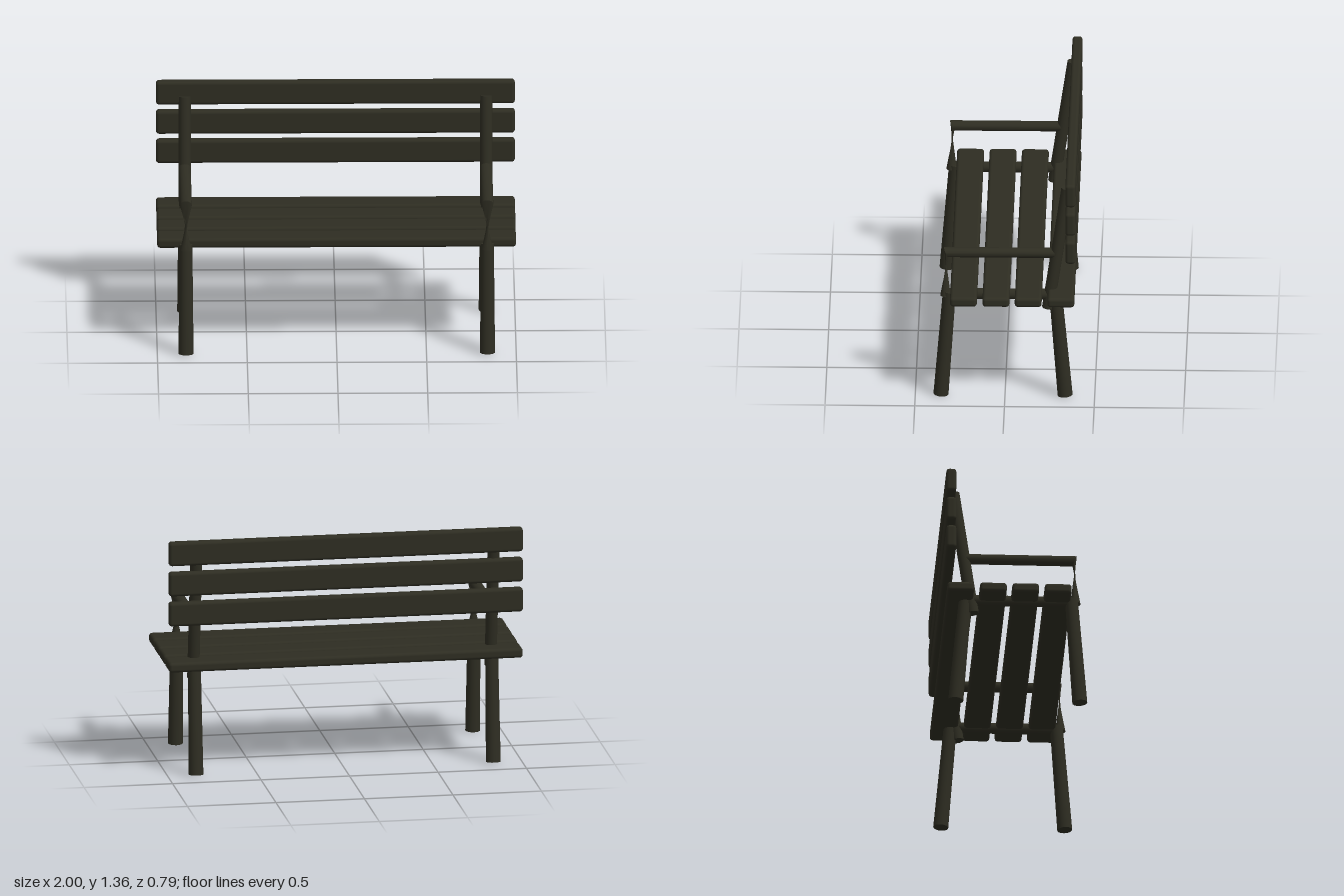
import * as THREE from 'three';
import { toCreasedNormals } from 'three/addons/utils/BufferGeometryUtils.js';
import { RoundedBoxGeometry } from 'three/addons/geometries/RoundedBoxGeometry.js';

const paint = new THREE.MeshStandardMaterial({ color: 0x2e2d22 });
paint.name = 'dark olive paint';
const armPaint = paint.clone();
armPaint.side = THREE.DoubleSide;

const V = (x, y, z) => new THREE.Vector3(x, y, z);

// Round bar from a to b, with a radius at each end
function rod(name, a, b, ra, rb) {
  const d = b.clone().sub(a);
  const mesh = new THREE.Mesh(new THREE.CylinderGeometry(rb, ra, d.length(), 16), paint);
  mesh.position.copy(a).add(b).multiplyScalar(0.5);
  mesh.quaternion.setFromUnitVectors(V(0, 1, 0), d.normalize());
  mesh.name = name;
  return mesh;
}

function slat(name, y, z, height, depth) {
  const mesh = new THREE.Mesh(new RoundedBoxGeometry(2, height, depth, 3, 0.018), paint);
  mesh.position.set(0, y, z);
  mesh.name = name;
  return mesh;
}

// Arm rail with a mitred corner and a twisted front upright
function armGeometry() {
  const sides = 16;
  const rings = [
    { c: V(0, 0.873, -0.28), v: V(0, 0.028, 0), twist: 0 },
    { c: V(0, 0.873, 0.328), v: V(0, 0.028, 0.012), twist: 0 },
  ];
  const steps = 8;
  const top = rings[1].c, foot = V(0, 0.61, 0.332);
  const twist = Math.PI * 0.9;
  const footV = V(0, 0, 0.029);
  const pos = [], index = [];
  const ringPoint = ({ c, v, twist: t }, i) => {
    const a = (i / sides) * Math.PI * 2 + t;
    return c.clone().addScaledVector(V(0.033, 0, 0), Math.cos(a)).addScaledVector(v, Math.sin(a));
  };
  const end = { c: foot, v: footV, twist };
  const rows = rings.map((r) => Array.from({ length: sides + 1 }, (_, i) => ringPoint(r, i)));
  // straight lines between the corner and the turned foot make the narrow waist
  for (let s = 1; s <= steps; s++) {
    rows.push(Array.from({ length: sides + 1 }, (_, i) =>
      ringPoint({ ...rings[1], c: top }, i).lerp(ringPoint(end, i), s / steps)));
  }
  rows.forEach((row) => row.forEach((p) => pos.push(p.x, p.y, p.z)));
  const n = sides + 1;
  for (let r = 0; r < rows.length - 1; r++) {
    for (let i = 0; i < sides; i++) {
      const a = r * n + i, b = a + 1, c = a + n, d = c + 1;
      index.push(a, b, c, b, d, c);
    }
  }
  const g = new THREE.BufferGeometry();
  g.setAttribute('position', new THREE.Float32BufferAttribute(pos, 3));
  g.setIndex(index);
  return toCreasedNormals(g, 0.8);
}

export function createModel() {
  const bench = new THREE.Group();
  bench.name = 'bench';

  // Seat and backrest slats
  [0.229, 0.048, -0.132, -0.314].forEach((z) => bench.add(slat('seatSlat', 0.635, z, 0.056, 0.15)));
  [0.943, 1.116, 1.29].forEach((y) => bench.add(slat('backSlat', y, -0.367, 0.137, 0.056)));

  // Two matching side frames
  const arm = armGeometry();
  for (const [side, x] of [['left', 0.84], ['right', -0.84]]) {
    const frame = new THREE.Group();
    frame.name = side + 'Frame';
    frame.position.x = x;
    frame.add(
      rod('frontLeg', V(0, 0.004, 0.357), V(0, 0.635, 0.31), 0.042, 0.036),
      rod('backLeg', V(0, 0.004, -0.335), V(0, 0.635, -0.281), 0.042, 0.036),
      rod('seatRail', V(0, 0.62, 0.31), V(0, 0.62, -0.28), 0.03, 0.03),
      rod('backPost', V(0, 0.54, -0.24), V(0, 1.272, -0.348), 0.034, 0.034),
    );
    const armMesh = new THREE.Mesh(arm, armPaint);
    armMesh.name = 'armRest';
    frame.add(armMesh);
    bench.add(frame);
  }
  return bench;
}
